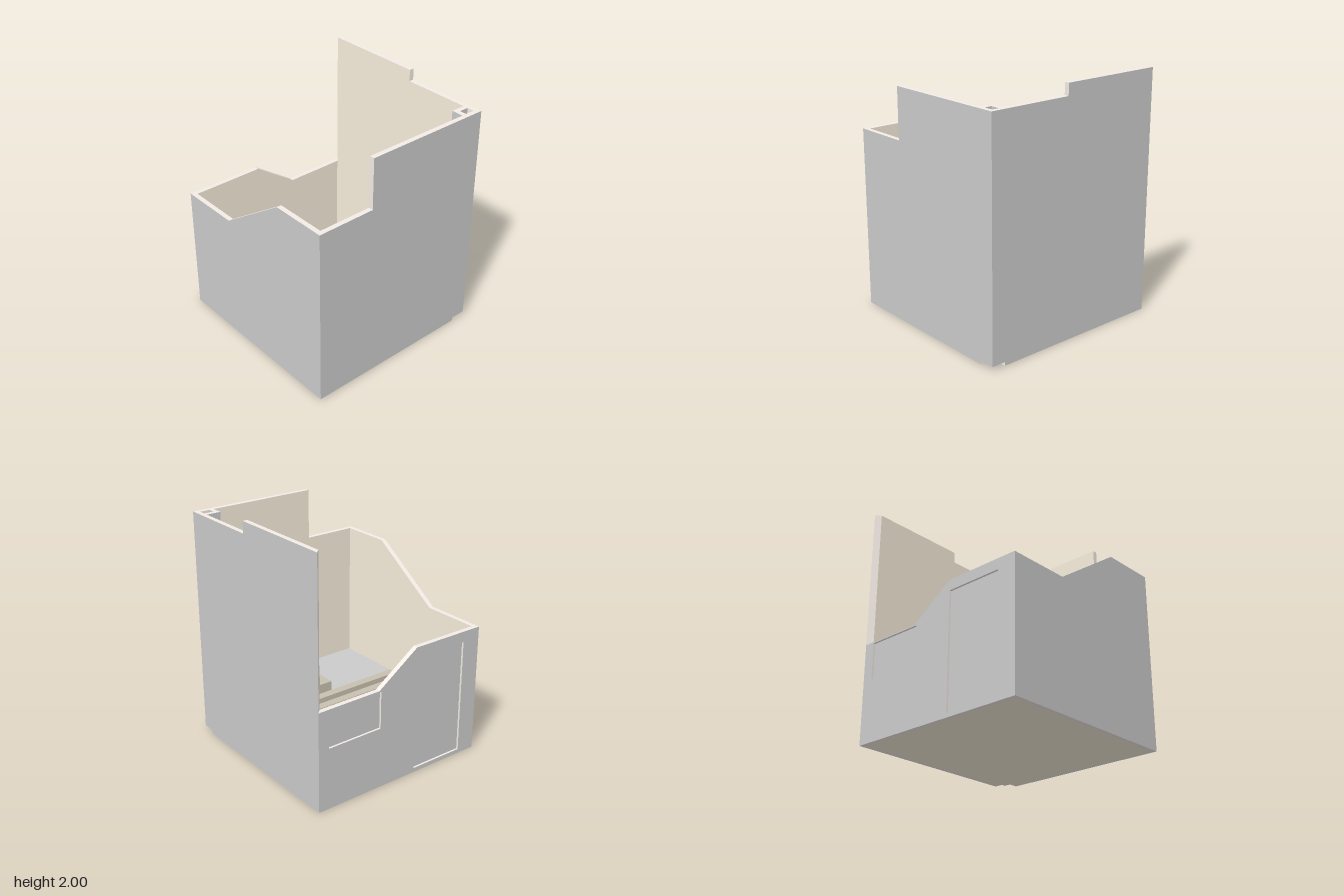
import * as THREE from 'three';

const W = 0.78, D = 0.8, T = 0.04, FLOOR = 0.03, LEAF = 0.02;
const mat = (color) => new THREE.MeshStandardMaterial({ color });
const grey = mat(0xcccccc), plaster = mat(0xf8efdc), trim = mat(0xf4ece6), tread = mat(0xc6c0ae);

const polygon = (pts) => new THREE.Shape(pts.map(([x, y]) => new THREE.Vector2(x, y)));

function add(parent, name, geometry, material) {
  const mesh = new THREE.Mesh(geometry, material);
  mesh.name = name;
  parent.add(mesh);
  return mesh;
}

// Box given by its minimum and maximum on each axis
function box(parent, name, [x0, x1], [y0, y1], [z0, z1], material) {
  const mesh = add(parent, name, new THREE.BoxGeometry(x1 - x0, y1 - y0, z1 - z0), material);
  mesh.position.set((x0 + x1) / 2, (y0 + y1) / 2, (z0 + z1) / 2);
  return mesh;
}

// Wall of two leaves with mitred ends: grey outside, plaster inside, pale edges.
// Recesses [u0, u1, y0, y1] are cut through the outer leaf only.
function wall(parent, name, angle, half, dist, profile, recesses = []) {
  const group = new THREE.Group();
  group.name = name;
  group.rotation.y = angle;
  parent.add(group);

  const leaf = (leafName, start, material, holes) => {
    const shape = polygon(profile);
    for (const [a, b, c, d] of holes) {
      shape.holes.push(new THREE.Path([[a, c], [a, d], [b, d], [b, c]].map(([x, y]) => new THREE.Vector2(x, y))));
    }
    const geo = new THREE.ExtrudeGeometry(shape, { depth: LEAF, bevelEnabled: false });
    geo.translate(0, 0, dist - start - LEAF);
    const p = geo.attributes.position;
    for (let i = 0; i < p.count; i++) {
      const limit = half - (dist - p.getZ(i));
      p.setX(i, THREE.MathUtils.clamp(p.getX(i), -limit, limit));
    }
    geo.computeVertexNormals();
    add(group, leafName, geo, [material, trim]);
  };
  leaf('outerLeaf', 0, grey, recesses);
  leaf('innerLeaf', LEAF, plaster, []);

  // Plain panels at the back of the recesses
  for (const [a, b, c, d] of recesses) {
    box(group, 'recessPanel', [a, b], [c, d], [dist - LEAF - 0.002, dist - LEAF + 0.003], grey);
  }
}

// Solid flight climbing toward +x
function flight(parent, name, edges, z, firstTop, rise) {
  const group = new THREE.Group();
  group.name = name;
  parent.add(group);
  for (let i = 0; i < edges.length - 1; i++) {
    box(group, 'step', [edges[i], edges[i + 1]], [FLOOR, firstTop + i * rise], z, tread);
  }
}

export function createModel() {
  const model = new THREE.Group();
  model.name = 'stairRoom';
  const nx = 0.65, nz = 0.685; // notch under the corner shaft

  // Outer walls, stepped and sloped along the top
  wall(model, 'frontWall', 0, W, D, [
    [-W, 0], [nx, 0], [nx, FLOOR], [W, FLOOR], [W, 1.905], [-0.295, 1.905], [-0.295, 1.49], [-W, 1.49]]);
  wall(model, 'leftSideWall', Math.PI / 2, D, W, [
    [-D, FLOOR], [-nz, FLOOR], [-nz, 0], [D, 0], [D, 2], [-0.09, 2], [-0.09, 1.905], [-D, 1.905]]);
  wall(model, 'rightSideWall', -Math.PI / 2, D, W, [
    [-D, 0], [D, 0], [D, 1.49], [0.335, 1.49], [-0.28, 1.07], [-D, 1.07]]);
  wall(model, 'backWall', Math.PI, W, D, [
    [-W, 0], [W, 0], [W, 1.07], [0.135, 1.07], [-0.225, 0.82], [-W, 0.82]],
  [[0.14, 0.62, 0.035, 0.982], [-0.69, -0.206, 0.505, 0.81]]);

  // Floor slab with the corner cut out: plaster underside, grey top
  const x = W - T, z = D - T;
  const plan = polygon([[-x, -z], [nx, -z], [nx, -nz], [x, -nz], [x, z], [-x, z]]);
  [['slabUnderside', 0, plaster], ['floor', FLOOR / 2, grey]].forEach(([name, y, material]) => {
    const geo = new THREE.ExtrudeGeometry(plan, { depth: FLOOR / 2, bevelEnabled: false });
    geo.rotateX(-Math.PI / 2).translate(0, y, 0);
    add(model, name, geo, material);
  });

  // Hollow shaft in the front corner
  const shaft = [grey, grey, trim, grey, grey, grey];
  box(model, 'shaftSide', [0.62, 0.66], [FLOOR, 1.905], [0.66, z], shaft);
  box(model, 'shaftBack', [0.66, x], [FLOOR, 1.905], [0.66, 0.7], shaft);

  // Back flight, wide middle flight, landing and front flight
  flight(model, 'backFlight', [-0.055, 0.08, 0.2, 0.325], [-z, -0.33], 0.107, 0.077);
  const middle = new THREE.Group();
  middle.name = 'middleFlight';
  model.add(middle);
  const n = 7, run = 0.52 / n, landing = 0.338;
  for (let i = 0; i < n; i++) {
    const top = FLOOR + (landing - FLOOR) * (i + 1) / n;
    box(middle, 'step', [-x, 0.18], [FLOOR, top], [-0.33 + i * run, -0.33 + (i + 1) * run], tread);
  }
  box(model, 'landing', [-x, -0.1], [FLOOR, landing], [0.19, z], grey);
  flight(model, 'frontFlight', [-0.1, 0.02, 0.14, 0.27], [0.195, z], 0.415, 0.077);

  return model;
}
